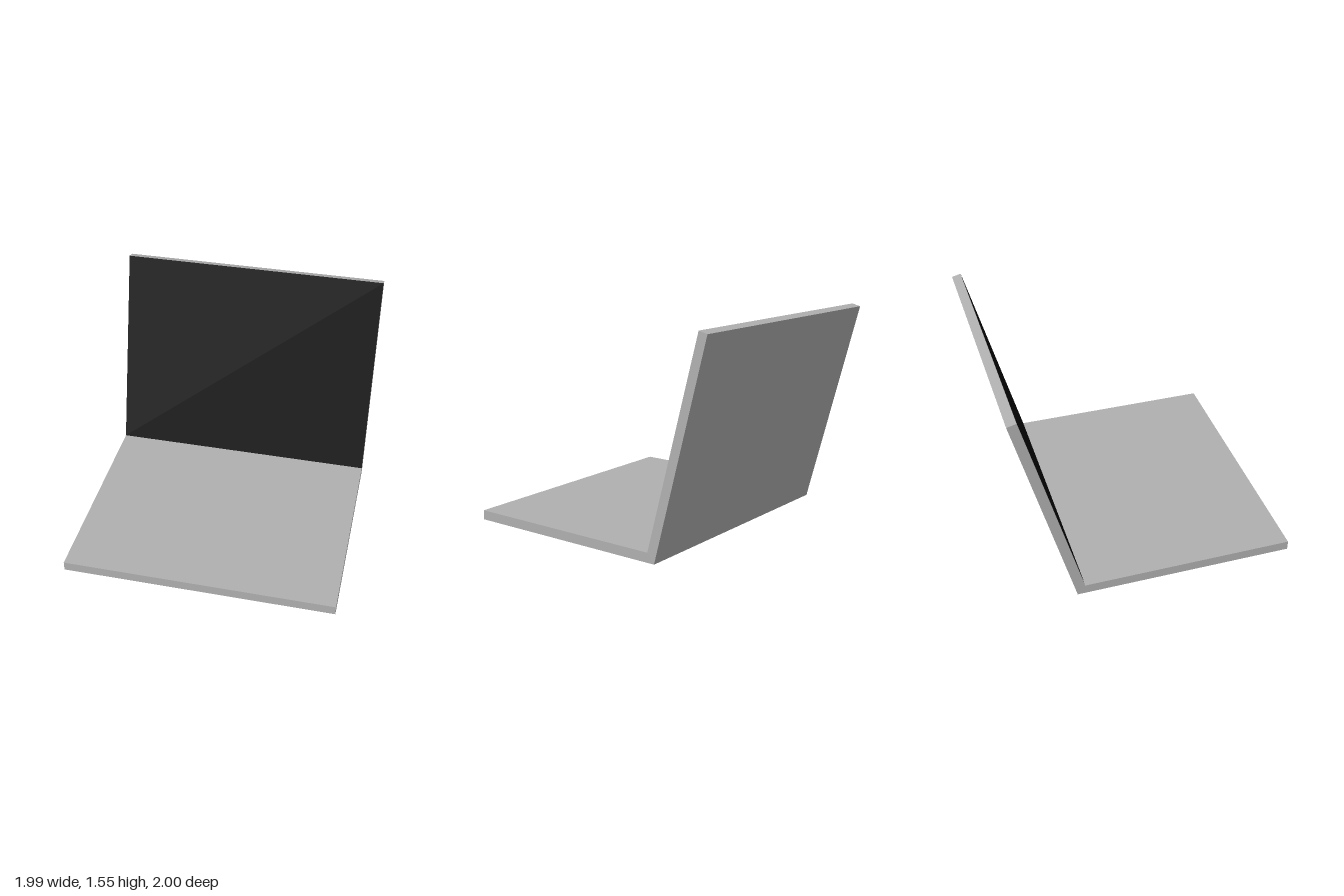
import * as THREE from 'three';

const WIDTH = 1.986;

// Extrudes a side profile of [z, y] points across the full width
function slab(name, profile, material) {
  const shape = new THREE.Shape(profile.map(([z, y]) => new THREE.Vector2(-z, y)));
  const geometry = new THREE.ExtrudeGeometry(shape, { depth: WIDTH, bevelEnabled: false });
  geometry.translate(0, 0, -WIDTH / 2).rotateY(Math.PI / 2);
  const mesh = new THREE.Mesh(geometry, material);
  mesh.name = name;
  return mesh;
}

export function createModel() {
  const grey = new THREE.MeshStandardMaterial({ name: 'casing grey', color: 0xb0b0b0 });
  const black = new THREE.MeshStandardMaterial({ name: 'screen black', color: 0x050505 });
  const model = new THREE.Group();
  model.name = 'laptop';

  // Base and lid meet in a mitred hinge line
  const hingeFront = [-0.535, 0.07];
  const hingeBack = [-0.59, 0];
  const lidTop = [-0.935, 1.552];
  model.add(slab('base', [[1, 0], [1, 0.07], hingeFront, hingeBack], grey));
  model.add(slab('lid', [hingeBack, hingeFront, lidTop, [-1, 1.535]], grey));

  // Screen face covering the whole inner side of the lid
  const dz = lidTop[0] - hingeFront[0];
  const dy = lidTop[1] - hingeFront[1];
  const tilt = Math.atan2(-dz, dy);
  const screen = new THREE.Mesh(new THREE.PlaneGeometry(WIDTH, Math.hypot(dz, dy)), black);
  screen.name = 'screen';
  screen.rotation.x = -tilt;
  screen.position.set(0, (lidTop[1] + hingeFront[1]) / 2, (lidTop[0] + hingeFront[0]) / 2);
  screen.translateZ(0.002);
  model.add(screen);

  return model;
}
